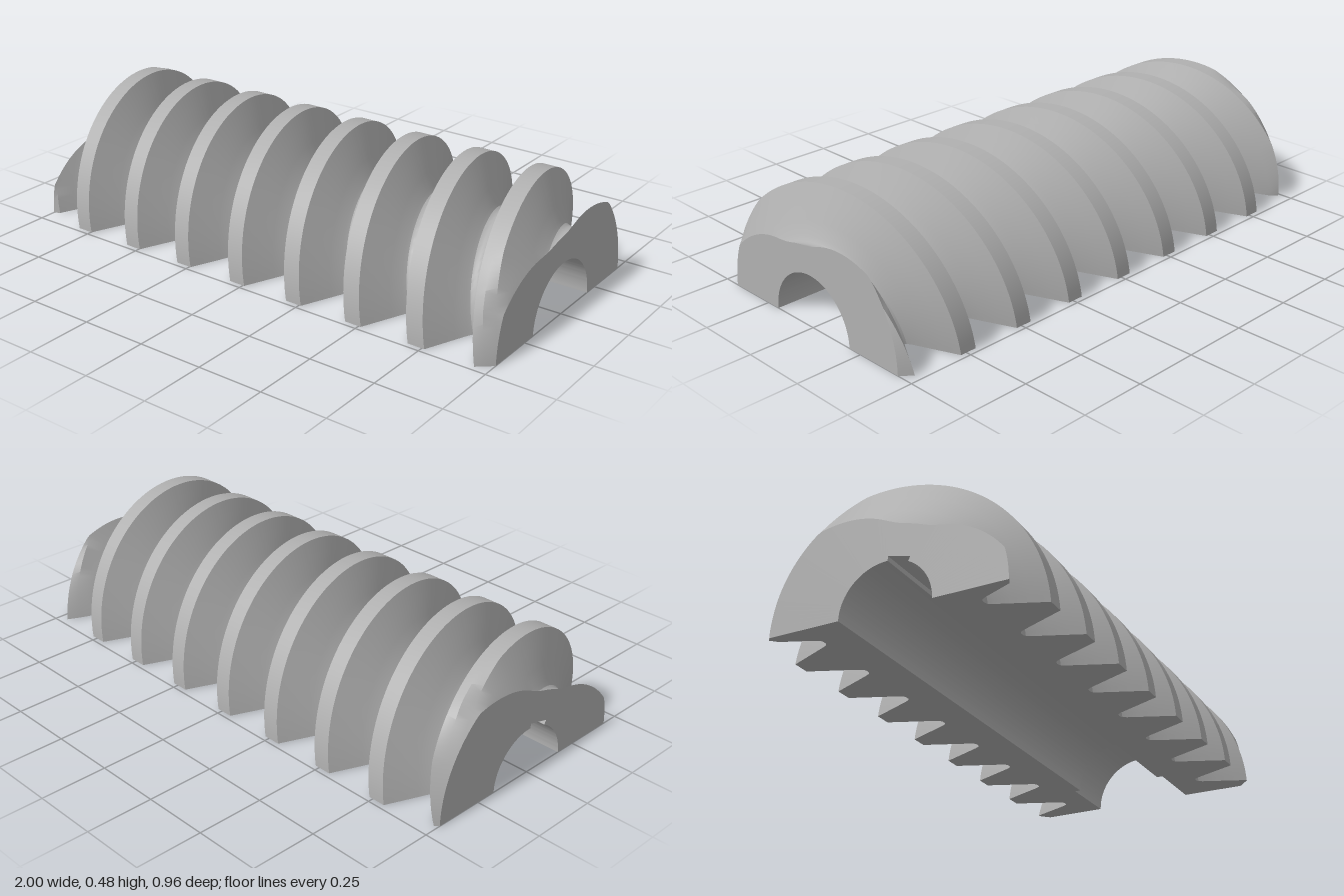
import * as THREE from 'three';
import { toCreasedNormals } from 'three/addons/utils/BufferGeometryUtils.js';

const PITCH = 0.2513, TURN = 0.238, START = -0.78;
const BORE = 0.171, COUNTERBORE = 0.194, STEP_X = 0.75;

// Tooth section: [distance from crest centre, radius]
const TOOTH = [[0, 0.48], [0.032, 0.48], [0.055, 0.425], [0.08, 0.365], [0.1, 0.317],
  [0.109, 0.302], [0.117, 0.298], [PITCH / 2, 0.297]];

const crestShift = (t) => START - TURN * t / Math.PI;

// Radius of the thread at x and angle t, trimmed by the chamfered ends
function threadRadius(x, t) {
  const u = (x - crestShift(t)) / PITCH;
  const d = Math.abs(u - Math.round(u)) * PITCH;
  let i = 1;
  while (i < TOOTH.length - 1 && d > TOOTH[i][0]) i++;
  const [d0, r0] = TOOTH[i - 1], [d1, r1] = TOOTH[i];
  const r = r0 + (r1 - r0) * (d - d0) / (d1 - d0);
  return Math.min(r, 0.48 - Math.max(0, Math.abs(x) - 0.95) * 0.9);
}

const point = (x, r, t) => new THREE.Vector3(x, r * Math.sin(t), r * Math.cos(t));

// Surface between rows of points; flip turns it round
function surface(rows, flip = false) {
  const pos = [];
  const tri = (a, b, c) => {
    const area = b.clone().sub(a).cross(c.clone().sub(a)).length();
    if (area < 1e-9) return;
    for (const p of flip ? [a, c, b] : [a, b, c]) pos.push(p.x, p.y, p.z);
  };
  for (let i = 0; i < rows.length - 1; i++) {
    for (let j = 0; j < rows[i].length - 1; j++) {
      const a = rows[i][j], b = rows[i + 1][j], c = rows[i + 1][j + 1], d = rows[i][j + 1];
      tri(a, b, c);
      tri(a, c, d);
    }
  }
  const g = new THREE.BufferGeometry();
  g.setAttribute('position', new THREE.Float32BufferAttribute(pos, 3));
  return toCreasedNormals(g, 0.5);
}

export function createModel() {
  const group = new THREE.Group();
  group.name = 'halfWorm';
  const steel = new THREE.MeshStandardMaterial({ color: 0xb0b0b0 });
  steel.name = 'grey';
  const add = (name, geometry) => {
    const mesh = new THREE.Mesh(geometry, steel);
    mesh.name = name;
    group.add(mesh);
  };

  // Half-circle of angles with bore radius, including a flat keyway near the top
  const keyMid = 1.32, keyHalf = 0.23, N = 72;
  const ring = [];
  for (let i = 0; i <= N; i++) {
    const t = Math.PI * i / N;
    if (Math.abs(t - keyMid) > keyHalf) ring.push([t, BORE]);
  }
  for (let i = 0; i <= 8; i++) {
    const a = keyHalf * (i / 4 - 1);
    if (i === 0) ring.push([keyMid + a, BORE]);
    ring.push([keyMid + a, 0.183 / Math.cos(a)]);
    if (i === 8) ring.push([keyMid + a, BORE]);
  }
  ring.sort((p, q) => p[0] - q[0]); // stable, keeps the inner side of each wall
  const angles = ring.map((p) => p[0]);

  // Helical thread: offsets follow the tooth, clamped at both ends
  const offsets = [];
  for (let k = -2; k <= 9; k++) {
    for (let i = TOOTH.length - 1; i > 0; i--) offsets.push(k * PITCH - TOOTH[i][0]);
    for (let i = 0; i < TOOTH.length - 1; i++) offsets.push(k * PITCH + TOOTH[i][0]);
  }
  const clampX = (x) => Math.max(-1, Math.min(1, x));
  add('thread', surface(offsets.map((o) => angles.map((t) => {
    const x = clampX(o + crestShift(t));
    return point(x, threadRadius(x, t), t);
  }))));

  // Bore with keyway, and the wider counterbore
  const bore = (x) => ring.map(([t, r]) => point(x, r, t));
  const wide = (x) => angles.map((t) => point(x, COUNTERBORE, t));
  add('bore', surface([bore(-1), bore(STEP_X)], true));
  add('counterbore', surface([wide(STEP_X), wide(1)], true));
  add('boreStep', surface([bore(STEP_X), wide(STEP_X)], true));

  // End faces
  const rim = (x) => angles.map((t) => point(x, threadRadius(x, t), t));
  add('leftEnd', surface([wide(1), rim(1)], true));
  add('rightEnd', surface([bore(-1), rim(-1)]));

  // Flat cut faces, front and back
  for (const [name, t] of [['frontCut', 0], ['backCut', Math.PI]]) {
    const xs = offsets.map((o) => clampX(o + crestShift(t)));
    xs.push(STEP_X, STEP_X, -0.95, 0.95, -1, 1);
    xs.sort((a, b) => a - b);
    let passed = false;
    const rows = xs.map((x) => {
      const r = x > STEP_X || (x === STEP_X && passed) ? COUNTERBORE : BORE;
      if (x === STEP_X) passed = true;
      return [point(x, r, t), point(x, threadRadius(x, t), t)];
    });
    add(name, surface(rows, t > 0));
  }
  return group;
}
